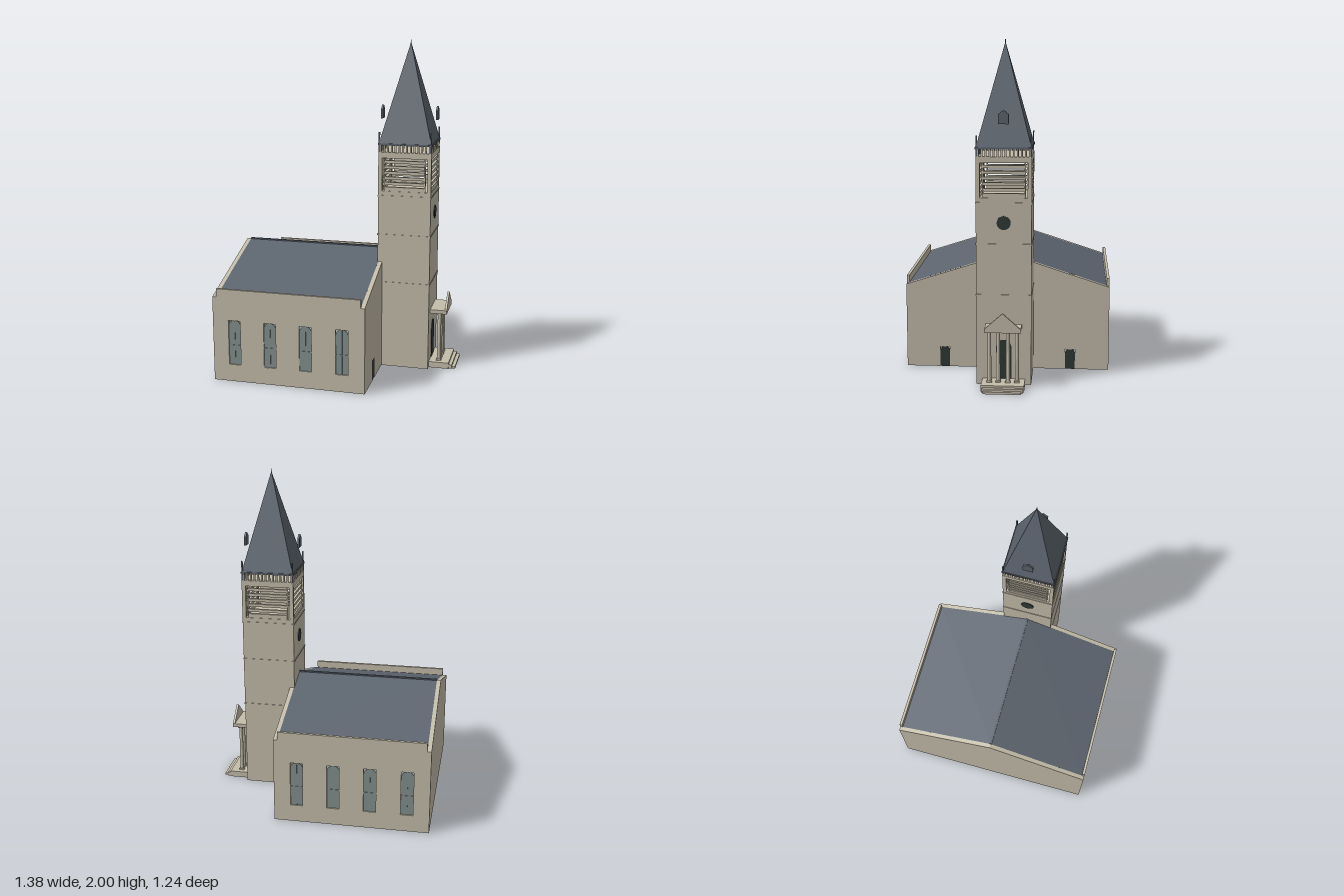
import * as THREE from 'three';

const mat = (color) => new THREE.MeshStandardMaterial({ color, side: THREE.DoubleSide, flatShading: true });
const STONE = mat(0xc4bdaa), ROOF = mat(0x5c646e), GLASS = mat(0x82908f), DARK = mat(0x2f3a37);
const TX = 0.367; // tower centre
const TH = 0.16; // tower half width

function add(parent, name, geo, material, x = 0, y = 0, z = 0) {
  const m = new THREE.Mesh(geo, material);
  m.name = name;
  m.position.set(x, y, z);
  parent.add(m);
  return m;
}

// box given by its limits on each axis
function block(parent, name, [x0, x1], [y0, y1], [z0, z1], material = STONE) {
  return add(parent, name, new THREE.BoxGeometry(x1 - x0, y1 - y0, z1 - z0), material,
    (x0 + x1) / 2, (y0 + y1) / 2, (z0 + z1) / 2);
}

const poly = (pts) => new THREE.Shape(pts.map(([x, y]) => new THREE.Vector2(x, y)));
const extrude = (shape, depth) =>
  new THREE.ExtrudeGeometry(shape, { depth, bevelEnabled: false, curveSegments: 8 });
// profile drawn in (z, y), extruded along +x
const extrudeX = (shape, depth) => extrude(shape, depth).rotateY(Math.PI / 2);

// round-headed panel standing on y = 0
function archShape(hw, h) {
  const s = new THREE.Shape();
  s.moveTo(-hw, 0);
  s.lineTo(hw, 0);
  s.lineTo(hw, h - hw);
  s.absarc(0, h - hw, hw, 0, Math.PI, false);
  s.closePath();
  return s;
}

function buildNave() {
  const g = new THREE.Group();
  g.name = 'nave';
  const windowXs = [-0.557, -0.338, -0.121, 0.098];
  const hw = 0.037, y0 = 0.105, y1 = 0.38;

  // side walls with four window openings each
  for (const s of [-1, 1]) {
    const wall = poly([[-0.665, 0], [0.21, 0], [0.21, 0.57], [-0.665, 0.57]]);
    for (const x of windowXs)
      wall.holes.push(poly([[x - hw, y0], [x - hw, y1], [x + hw, y1], [x + hw, y0]]));
    add(g, 'sideWall', extrude(wall, 0.017), STONE, 0, 0, s > 0 ? 0.603 : -0.62);
    for (const x of windowXs) {
      add(g, 'windowGlass', extrude(archShape(hw, y1 - y0), 0.004), GLASS, x, y0, s * 0.61 - 0.002);
      block(g, 'windowMullion', [x - 0.002, x + 0.002], [y0, y1], [s * 0.611 - 0.004, s * 0.611 + 0.004], GLASS);
      block(g, 'windowTransom', [x - hw, x + hw], [0.223, 0.228], [s * 0.611 - 0.004, s * 0.611 + 0.004], GLASS);
    }
  }

  // gable walls, the tower end notched for two doors
  const gableTop = [[0.62, 0.52], [0, 0.72], [-0.62, 0.52]];
  add(g, 'backGable', extrudeX(poly([[-0.62, 0], [0.62, 0], ...gableTop]), 0.025), STONE, -0.69);
  const notch = (z) => [[z - 0.03, 0], [z - 0.03, 0.125], [z + 0.03, 0.125], [z + 0.03, 0]];
  add(g, 'towerGable', extrudeX(
    poly([[-0.62, 0], ...notch(-0.385), ...notch(0.385), [0.62, 0], ...gableTop]), 0.025), STONE, 0.21);
  for (const s of [-1, 1])
    add(g, 'sideDoor', extrudeX(archShape(0.03, 0.125), 0.01), DARK, 0.223, 0, s * 0.385);

  // thin pitched roof between the gables
  add(g, 'naveRoof', extrudeX(poly([
    [0.605, 0.525], [0, 0.72], [-0.605, 0.525], [-0.605, 0.512], [0, 0.707], [0.605, 0.512],
  ]), 0.875), ROOF, -0.665);
  block(g, 'roofRidge', [-0.665, 0.21], [0.712, 0.726], [-0.006, 0.006], ROOF);
  return g;
}

function buildTower() {
  const g = new THREE.Group();
  g.name = 'tower';
  g.position.x = TX;
  block(g, 'towerShaft', [-TH, TH], [0, 1.11], [-TH, TH]);
  for (const y of [0.54, 0.84, 1.08])
    block(g, 'stringCourse', [-TH - 0.003, TH + 0.003], [y - 0.004, y + 0.004], [-TH - 0.003, TH + 0.003]);

  // belfry corner posts and cap slab
  for (const sx of [-1, 1]) for (const sz of [-1, 1]) {
    const post = add(g, 'belfryPost', new THREE.BoxGeometry(0.023, 0.2, 0.023), STONE);
    post.position.set(sx * (TH - 0.0115), 1.21, sz * (TH - 0.0115));
    block(g, 'cornerPinnacle', [sx * 0.155 - 0.004, sx * 0.155 + 0.004], [1.34, 1.465],
      [sz * 0.155 - 0.004, sz * 0.155 + 0.004], ROOF);
  }
  block(g, 'belfryCap', [-TH, TH], [1.31, 1.345], [-TH, TH]);

  // each face: louvres and a row of small balusters
  for (let i = 0; i < 4; i++) {
    const face = new THREE.Group();
    face.name = 'belfryFace';
    face.rotation.y = i * Math.PI / 2;
    g.add(face);
    block(face, 'belfrySill', [-0.12, 0.12], [1.11, 1.135], [0.137, 0.157]);
    for (const s of [-1, 1])
      block(face, 'louvreStile', [s * 0.121 - 0.004, s * 0.121 + 0.004], [1.11, 1.31], [0.138, 0.15]);
    for (let k = 0; k < 5; k++)
      block(face, 'louvreSlat', [-0.12, 0.12], [1.147 + k * 0.033, 1.164 + k * 0.033], [0.138, 0.156]);
    for (let k = 0; k < 14; k++) {
      const x = -0.148 + k * 0.0228;
      block(face, 'baluster', [x - 0.005, x + 0.005], [1.345, 1.39], [0.146, 0.158]);
    }
  }
  block(g, 'spireEave', [-0.163, 0.163], [1.387, 1.398], [-0.163, 0.163], ROOF);

  // pyramid spire and finial
  const spire = new THREE.ConeGeometry(0.158 * Math.SQRT2, 0.59, 4).rotateY(Math.PI / 4);
  add(g, 'spire', spire, ROOF, 0, 1.692, 0);
  add(g, 'finial', new THREE.CylinderGeometry(0.002, 0.003, 0.03, 6), ROOF, 0, 1.985, 0);

  // clock discs and gabled dormer plates at both ends
  const dormer = poly([[-0.03, 1.53], [0.03, 1.53], [0.03, 1.585], [0, 1.61], [-0.03, 1.585]]);
  for (const s of [-1, 1]) {
    add(g, 'clockDisc', new THREE.CylinderGeometry(0.04, 0.04, 0.006, 24).rotateZ(Math.PI / 2),
      DARK, s * (TH + 0.001), 0.965, 0);
    add(g, 'dormer', extrudeX(dormer, 0.012), ROOF, s * 0.167 - 0.006);
  }
  return g;
}

function buildPorch() {
  const g = new THREE.Group();
  g.name = 'porch';
  // three steps
  [[0.69, 0.11, 0.013], [0.67, 0.117, 0.025], [0.65, 0.125, 0.037]].forEach(([x, hz, h]) =>
    block(g, 'step', [0.52, x], [0, h], [-hz, hz]));
  for (const z of [-0.08, -0.028, 0.028, 0.08]) {
    add(g, 'column', new THREE.CylinderGeometry(0.011, 0.012, 0.31, 12), STONE, 0.583, 0.19, z);
    block(g, 'columnBase', [0.568, 0.598], [0.037, 0.047], [z - 0.015, z + 0.015]);
    block(g, 'columnCapital', [0.568, 0.598], [0.335, 0.345], [z - 0.015, z + 0.015]);
  }
  block(g, 'canopy', [0.52, 0.63], [0.345, 0.368], [-0.105, 0.105]);
  add(g, 'pediment', extrudeX(poly([[-0.105, 0.366], [0.105, 0.366], [0, 0.46]]), 0.013), STONE, 0.617);
  add(g, 'mainDoor', extrudeX(archShape(0.045, 0.235), 0.006), DARK, 0.524, 0.037, 0);
  return g;
}

export function createModel() {
  const model = new THREE.Group();
  model.name = 'church';
  model.add(buildNave(), buildTower(), buildPorch());
  return model;
}
